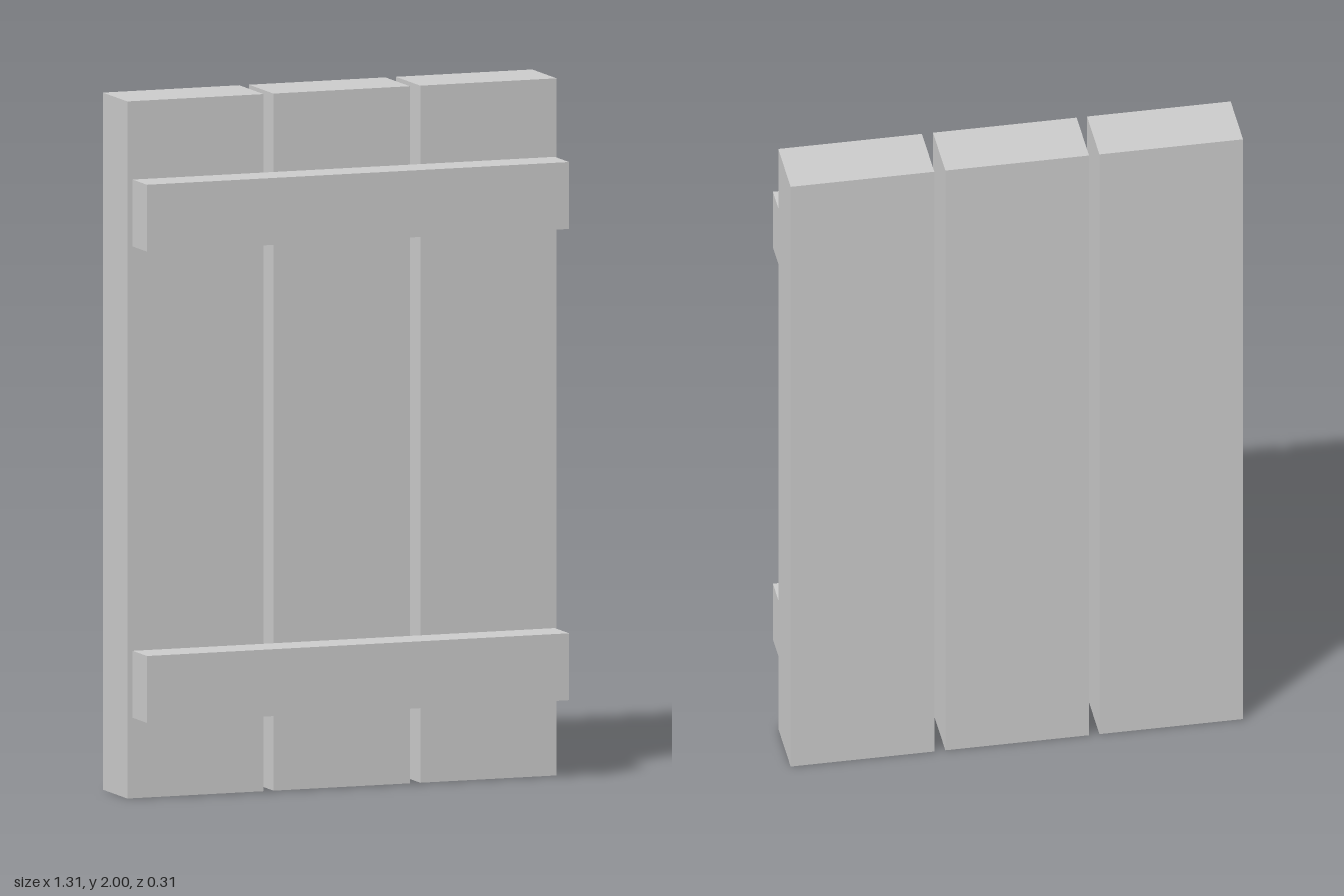
import * as THREE from 'three';

export function createModel() {
  const group = new THREE.Group();
  const grey = new THREE.MeshStandardMaterial({ color: 0xcccccc });
  grey.name = 'light grey';

  // Box given by its minimum and maximum on each axis
  const addBox = (name, [x0, x1], [y0, y1], [z0, z1]) => {
    const mesh = new THREE.Mesh(new THREE.BoxGeometry(x1 - x0, y1 - y0, z1 - z0), grey);
    mesh.position.set((x0 + x1) / 2, (y0 + y1) / 2, (z0 + z1) / 2);
    mesh.name = name;
    group.add(mesh);
  };

  // Three upright planks with narrow gaps between them
  const planks = { rightPlank: -0.446, middlePlank: -0.001, leftPlank: 0.446 };
  for (const [name, x] of Object.entries(planks)) {
    addBox(name, [x - 0.2075, x + 0.2075], [0, 2], [-0.153, 0.04]);
  }

  // Two cross battens on the front, slightly off centre
  addBox('lowerBatten', [-0.637, 0.648], [0.231, 0.423], [0.04, 0.153]);
  addBox('upperBatten', [-0.637, 0.648], [1.583, 1.775], [0.04, 0.153]);

  return group;
}
